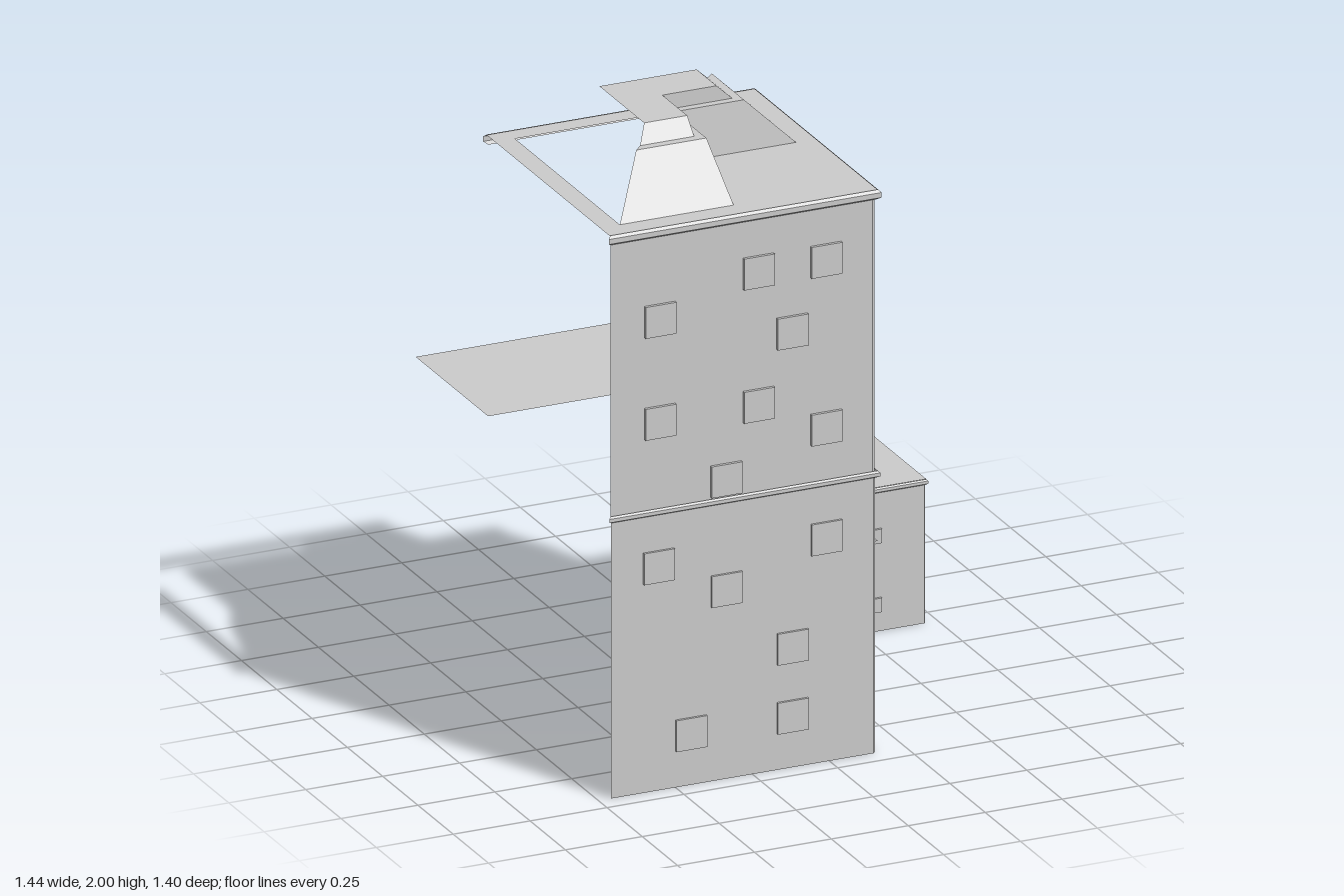
import * as THREE from 'three';

const mat = new THREE.MeshStandardMaterial({ color: 0xcccccc, flatShading: true, side: THREE.DoubleSide });

// Mesh made of four-cornered faces
function quads(name, list) {
  const pos = [];
  for (const [a, b, c, d] of list) pos.push(...a, ...b, ...c, ...a, ...c, ...d);
  const geo = new THREE.BufferGeometry();
  geo.setAttribute('position', new THREE.Float32BufferAttribute(pos, 3));
  geo.computeVertexNormals();
  const mesh = new THREE.Mesh(geo, mat);
  mesh.name = name;
  return mesh;
}

const frontQuad = (x0, x1, y0, y1, z) => [[x0, y0, z], [x1, y0, z], [x1, y1, z], [x0, y1, z]];
const sideQuad = (x, y0, y1, z0, z1) => [[x, y0, z0], [x, y0, z1], [x, y1, z1], [x, y1, z0]];
const flatQuad = (x0, x1, y, z0, z1) => [[x0, y, z1], [x1, y, z1], [x1, y, z0], [x0, y, z0]];

// Horizontal sheet from an outline and optional hole, both in [x, z]
function sheet(name, outline, hole, y) {
  const toShape = (pts) => pts.map(([x, z]) => new THREE.Vector2(x, -z));
  const shape = new THREE.Shape(toShape(outline));
  if (hole) shape.holes.push(new THREE.Path(toShape(hole)));
  const mesh = new THREE.Mesh(new THREE.ShapeGeometry(shape).rotateX(-Math.PI / 2), mat);
  mesh.position.y = y;
  mesh.name = name;
  return mesh;
}

// Moulding swept along a path of [x, z, outward x, outward z]
function moulding(name, path, y, h, out) {
  const profile = [[0, -h], [out, -h * 0.75], [out, -h * 0.25], [0.3 * out, 0]];
  const faces = [];
  for (let i = 0; i < path.length - 1; i++) {
    for (let j = 0; j < profile.length - 1; j++) {
      const at = ([x, z, nx, nz], [d, dy]) => [x + nx * d, y + dy, z + nz * d];
      faces.push([at(path[i], profile[j]), at(path[i + 1], profile[j]),
        at(path[i + 1], profile[j + 1]), at(path[i], profile[j + 1])]);
    }
  }
  return quads(name, faces);
}

// Shallow raised window panels on a front wall
function frontWindows(group, centres, w, h, z) {
  for (const [x, y] of centres) {
    const pane = new THREE.Mesh(new THREE.BoxGeometry(w, h, 0.01), mat);
    pane.position.set(x, y, z + 0.003);
    pane.name = 'frontWindow';
    group.add(pane);
  }
}

// Thin L-shaped window edges on a side wall: upright at z, sill from z to zEnd
function sideWindows(group, list, x, h) {
  for (const [z, y, zEnd] of list) {
    group.add(quads('sideWindow', [
      [[x, y, z], [x + 0.01, y, z + 0.004], [x + 0.01, y + h, z + 0.004], [x, y + h, z]],
      [[x, y, z], [x, y, zEnd], [x + 0.01, y, zEnd], [x + 0.01, y, z]],
    ]));
  }
}

// Front wall, chamfered corner and side wall
function cornerWalls(name, x0, x1, y0, y1, zFront, zBack, c) {
  return quads(name, [
    frontQuad(x0, x1 - c, y0, y1, zFront),
    [[x1 - c, y0, zFront], [x1, y0, zFront - c], [x1, y1, zFront - c], [x1 - c, y1, zFront]],
    sideQuad(x1, y0, y1, zFront - c, zBack),
  ]);
}

export function createModel() {
  const model = new THREE.Group();
  const L = -0.71, R = 0.153, F = 0.69, B = -0.18, END = -0.693;

  // Main tower, two storeys of walls
  const tower = new THREE.Group();
  tower.name = 'tower';
  tower.add(cornerWalls('lowerWalls', L, R, 0, 0.89, F, B, 0.01));
  tower.add(cornerWalls('upperWalls', L, R, 0.89, 1.78, F - 0.004, -0.175, 0.01));
  frontWindows(tower, [[-0.55, 1.5], [-0.23, 1.6], [-0.01, 1.6], [-0.12, 1.39], [-0.55, 1.175], [-0.23, 1.175],
    [-0.01, 1.065], [-0.335, 0.955], [-0.555, 0.715], [-0.335, 0.605], [-0.01, 0.715], [-0.12, 0.385],
    [-0.45, 0.165], [-0.12, 0.165]], 0.1, 0.1, F);
  sideWindows(tower, [[0.46, 1.45, 0.36], [0.46, 1.01, 0.36], [0.36, 1.23, 0.26], [0.14, 1.23, 0.04],
    [0.47, 0.67, 0.68], [0.26, 0.42, 0.47], [0.26, 0.2, 0.47], [-0.17, 0.77, 0.06], [-0.17, 0.13, 0.06],
    [0.04, 0.01, 0.25]], R, 0.1);
  tower.add(moulding('middleMoulding', [[L, F, -1, 1], [R, F, 1, 1], [R, END, 1, 0]], 0.9, 0.022, 0.009));
  tower.add(moulding('topMoulding', [[L, B + 0.003, -1, -1], [R, B + 0.003, 1, -1], [R, F, 1, 1], [L, F, -1, 1]],
    1.797, 0.032, 0.012));
  model.add(tower);

  // Middle wing behind the tower, open at the back
  const wing = new THREE.Group();
  wing.name = 'middleWing';
  wing.add(quads('wingShell', [sideQuad(R, 0.45, 0.9, B, END), flatQuad(L, R, 0.898, END, B)]));
  sideWindows(wing, [[-0.45, 0.66, -0.55], [-0.32, 0.56, -0.42]], R, 0.1);
  model.add(wing);

  // Low annex at the side, open at the back
  const annex = new THREE.Group();
  annex.name = 'annex';
  annex.add(cornerWalls('annexWalls', R, 0.71, 0, 0.455, -0.175, -0.695, 0.003));
  annex.add(quads('annexRoof', [flatQuad(R, 0.712, 0.459, -0.698, -0.175)]));
  annex.add(moulding('annexMoulding', [[R, -0.175, 0, 1], [0.71, -0.175, 1, 1], [0.71, -0.698, 1, 0]],
    0.459, 0.018, 0.006));
  frontWindows(annex, [[0.325, 0.25], [0.535, 0.305], [0.535, 0.085], [0.325, 0.028]], 0.06, 0.045, -0.175);
  sideWindows(annex, [[-0.32, 0.23, -0.41], [-0.51, 0.23, -0.42], [-0.58, 0.13, -0.67], [-0.38, 0.01, -0.29]],
    0.71, 0.09);
  model.add(annex);

  // Stepped L-shaped roof; only its front and side slopes are closed
  const roof = new THREE.Group();
  roof.name = 'roof';
  const base = [[-0.65, 0.623], [-0.28, 0.623], [-0.28, 0.252], [0.093, 0.252], [0.093, -0.12]];
  const eave = [[-0.523, 0.462], [-0.295, 0.462], [-0.295, 0.235], [-0.069, 0.235], [-0.069, 0.008]];
  const step = [[-0.498, 0.435], [-0.322, 0.435], [-0.322, 0.21], [-0.095, 0.21], [-0.095, 0.034]];
  const crown = [[-0.462, 0.385], [-0.322, 0.385], [-0.322, 0.209], [-0.146, 0.209], [-0.146, 0.068]];
  const levels = [[base, 1.795], [eave, 1.952], [step, 1.952], [crown, 2]];
  const names = ['lowerSlopes', 'roofLedge', 'upperSlopes'];
  names.forEach((name, k) => {
    const [lo, y0] = levels[k], [hi, y1] = levels[k + 1];
    const at = ([x, z], y) => [x, y, z];
    roof.add(quads(name, [0, 1, 2, 3].map((i) =>
      [at(lo[i], y0), at(lo[i + 1], y0), at(hi[i + 1], y1), at(hi[i], y1)])));
  });
  roof.add(sheet('crownTop', [...crown, [-0.462, 0.068]], null, 2));
  roof.add(sheet('roofTerrace', [[-0.714, 0.694], [0.157, 0.694], [0.157, -0.181], [-0.714, -0.181]],
    [...base, [-0.65, -0.12]], 1.795));
  model.add(roof);

  return model;
}
